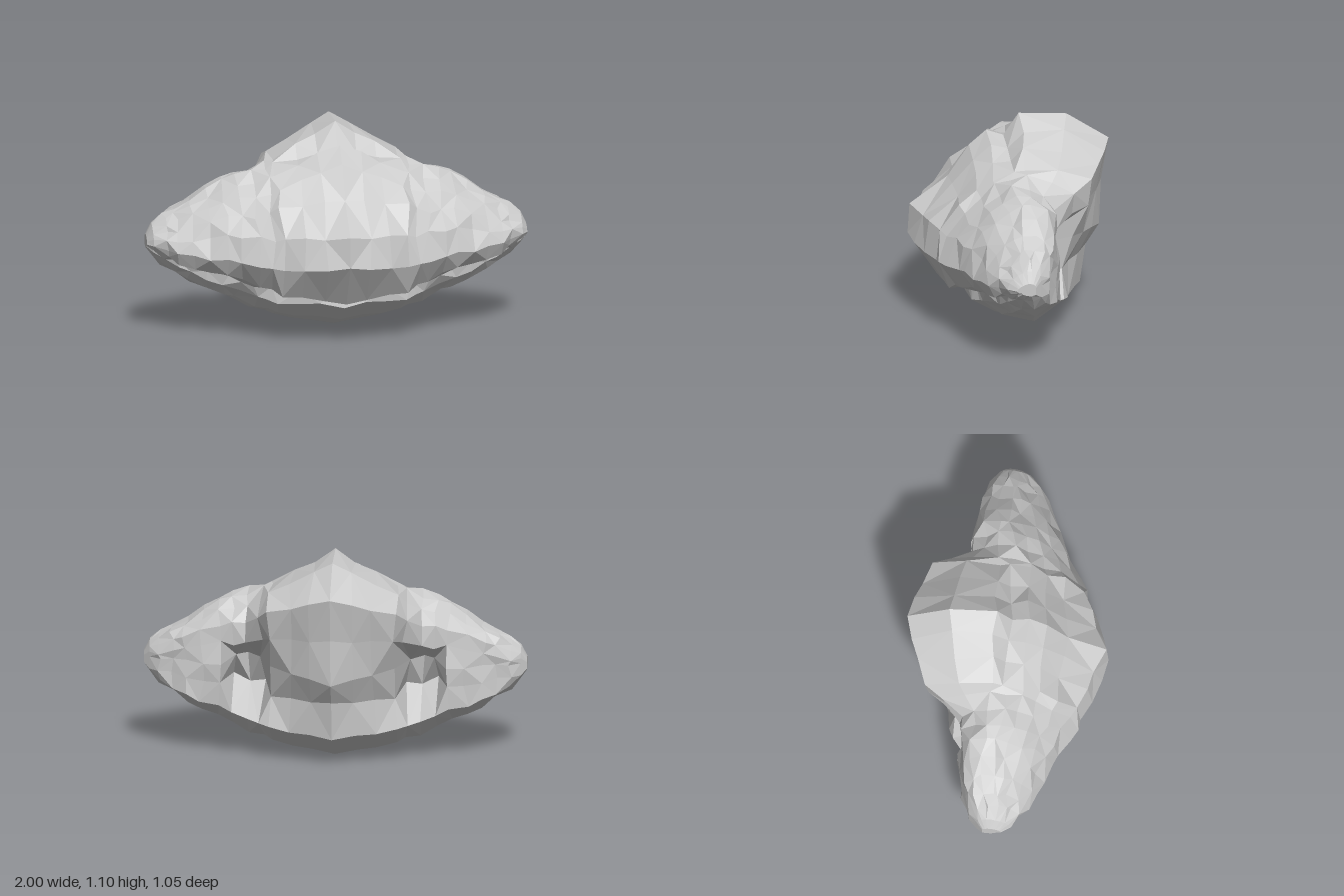
import * as THREE from 'three';

// Lengthwise sections as z,y pairs: nose, over the top, down the back, underneath
const centre = [
  0.52, 0.45, 0.51, 0.61, 0.31, 0.76, 0.2, 0.93, 0.11, 1.01, 0.02, 0.98,
  -0.06, 1.1, -0.31, 1.09, -0.53, 0.95, -0.49, 0.72, -0.48, 0.47, -0.41, 0.36,
  -0.38, 0.15, -0.12, 0, 0.12, 0.08, 0.29, 0.18, 0.27, 0.26, 0.37, 0.22];
const shoulder = [
  0.4, 0.42, 0.36, 0.58, 0.27, 0.72, 0.18, 0.8, 0.09, 0.86, 0, 0.89,
  -0.08, 0.91, -0.25, 0.91, -0.42, 0.86, -0.4, 0.7, -0.31, 0.52, -0.27, 0.36,
  -0.28, 0.18, -0.1, 0.06, 0.08, 0.12, 0.2, 0.2, 0.2, 0.27, 0.32, 0.27];
const wing = [
  0.35, 0.42, 0.3, 0.57, 0.24, 0.67, 0.16, 0.76, 0.08, 0.82, 0, 0.87,
  -0.08, 0.86, -0.16, 0.82, -0.22, 0.74, -0.24, 0.62, -0.24, 0.5, -0.24, 0.36,
  -0.24, 0.2, -0.1, 0.1, 0.06, 0.14, 0.16, 0.22, 0.17, 0.28, 0.28, 0.3];

// Wing section shrunk about its middle to the given z and y ranges
const shrink = (z0, z1, y0, y1) => wing.map((v, i) => i % 2
  ? y0 + (v - 0.1) / 0.77 * (y1 - y0)
  : z0 + (v + 0.24) / 0.59 * (z1 - z0));

const keys = [
  [0, centre], [0.33, shoulder], [0.43, wing],
  [0.6, shrink(-0.22, 0.26, 0.19, 0.82)], [0.78, shrink(-0.2, 0.2, 0.27, 0.72)],
  [0.91, shrink(-0.15, 0.12, 0.36, 0.63)], [0.97, shrink(-0.11, 0.07, 0.42, 0.59)],
  [1, shrink(-0.08, 0.02, 0.46, 0.53)]];
const stations = [0, 0.11, 0.22, 0.33, 0.38, 0.45, 0.53, 0.6, 0.69, 0.78, 0.85, 0.91, 0.97, 1];
const N = centre.length / 2;

function sectionAt(x) {
  let k = 0;
  while (k < keys.length - 2 && x > keys[k + 1][0]) k++;
  const [x0, a] = keys[k], [x1, b] = keys[k + 1];
  const t = (x - x0) / (x1 - x0);
  return a.map((v, i) => v + (b[i] - v) * t);
}

// Small repeatable irregularity that gives the surface its chipped facets
function noise(i, j, k) {
  const s = Math.sin(i * 12.9 + j * 78.2 + k * 37.7) * 43758.5;
  return (s - Math.floor(s) - 0.5) * 2;
}

function vertex(i, j) {
  const x = stations[i], s = sectionAt(x);
  let z = s[2 * j], y = s[2 * j + 1], dx = 0;
  if (i > 0 && x < 0.95) {
    const amount = 0.016;
    dx = noise(i, j, 1) * amount;
    y += noise(i, j, 2) * amount * 0.8;
    z += noise(i, j, 3) * amount;
  }
  // deep socket in the back, beside the central column
  if (z < -0.15 && j >= 9 && j <= 12) {
    const d = Math.hypot((x - 0.45) / 0.13, (y - 0.43) / 0.16);
    if (d < 1) z += 0.24 * Math.min(1, 1.6 * (1 - d * d) + 0.1);
  }
  return new THREE.Vector3(x + dx, Math.max(0, y), z);
}

function halfShell(side) {
  const rings = stations.map((_, i) => Array.from({ length: N }, (_, j) => vertex(i, j)));
  const pos = [];
  const tri = (a, b, c) => {
    for (const p of side > 0 ? [a, b, c] : [a, c, b]) pos.push(p.x * side, p.y, p.z);
  };
  for (let i = 0; i < rings.length - 1; i++) {
    for (let j = 0; j < N; j++) {
      const a = rings[i][j], b = rings[i][(j + 1) % N];
      const c = rings[i + 1][j], d = rings[i + 1][(j + 1) % N];
      if ((i + j) % 2) { tri(a, c, b); tri(b, c, d); }
      else { tri(a, c, d); tri(a, d, b); }
    }
  }
  // tip cap
  const last = rings[rings.length - 1], mid = new THREE.Vector3();
  last.forEach((p) => mid.addScaledVector(p, 1 / N));
  last.forEach((p, j) => tri(p, mid, last[(j + 1) % N]));
  const geo = new THREE.BufferGeometry();
  geo.setAttribute('position', new THREE.Float32BufferAttribute(pos, 3));
  geo.computeVertexNormals();
  return geo;
}

export function createModel() {
  const group = new THREE.Group();
  group.name = 'facetedBody';
  const material = new THREE.MeshStandardMaterial({
    color: 0xcccccc, flatShading: true, side: THREE.DoubleSide });
  for (const [name, side] of [['leftHalf', 1], ['rightHalf', -1]]) {
    const mesh = new THREE.Mesh(halfShell(side), material);
    mesh.name = name;
    group.add(mesh);
  }
  return group;
}
